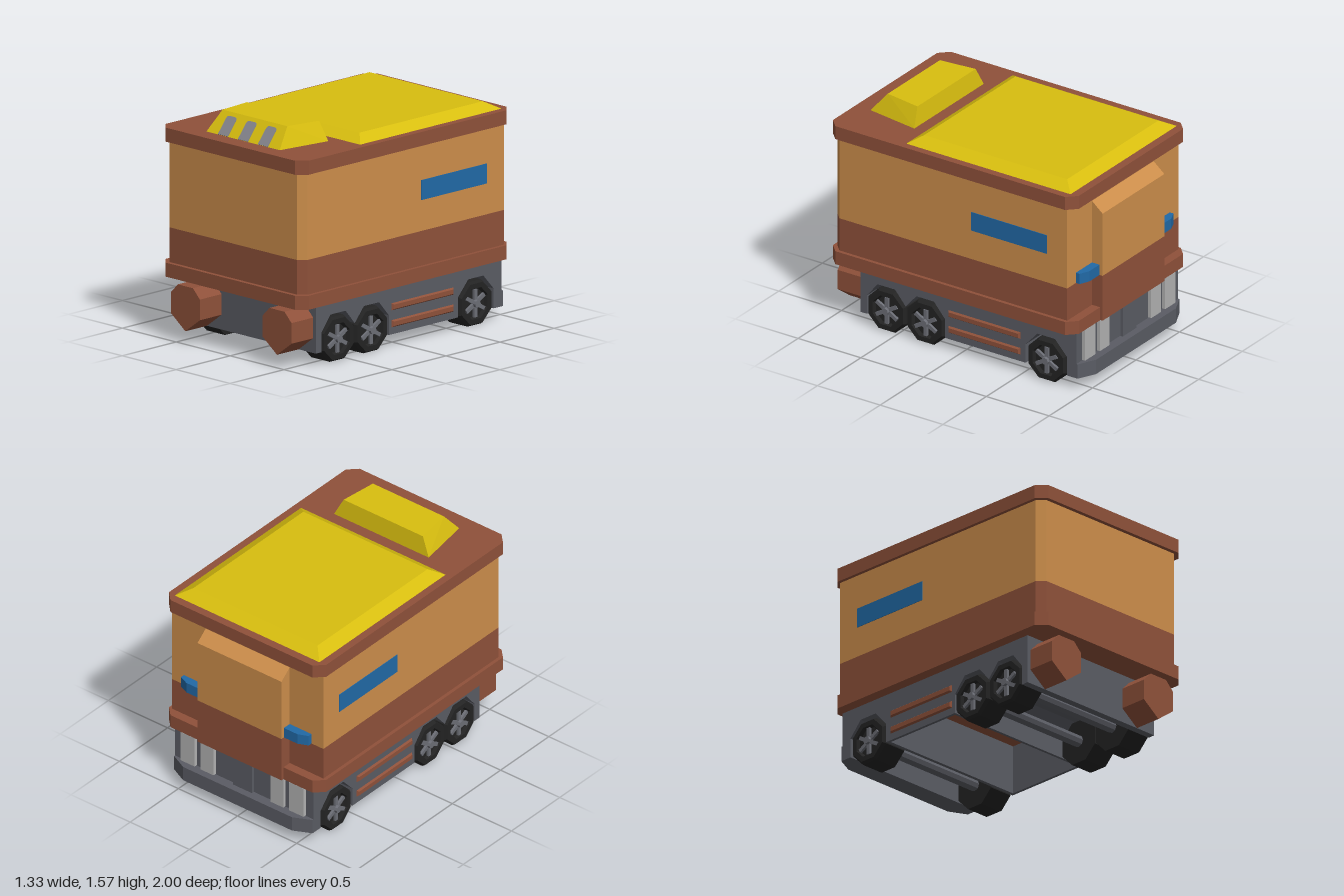
import * as THREE from 'three';
import { ConvexGeometry } from 'three/addons/geometries/ConvexGeometry.js';

const paint = (name, color) => {
  const m = new THREE.MeshStandardMaterial({ color });
  m.name = name;
  return m;
};

// Separate the facets so every face is shaded flat
const flat = (geo) => {
  const g = geo.index ? geo.toNonIndexed() : geo;
  g.computeVertexNormals();
  return g;
};

const shapeOf = (pts) => new THREE.Shape(pts.map(([x, y]) => new THREE.Vector2(x, y)));
const extrude = (shape, depth) => new THREE.ExtrudeGeometry(shape, { depth, bevelEnabled: false, curveSegments: 4 });

// Plan outline [x, z] raised from y0 to y1
const slab = (pts, y0, y1) =>
  extrude(shapeOf(pts.map(([x, z]) => [x, -z])), y1 - y0).rotateX(-Math.PI / 2).translate(0, y0, 0);

// Side outline [z, y] stretched from x0 to x1
const sideSlab = (pts, x0, x1) =>
  extrude(shapeOf(pts.map(([z, y]) => [-z, y])), x1 - x0).rotateY(Math.PI / 2).translate(x0, 0, 0);

const box = (x0, x1, y0, y1, z0, z1) =>
  new THREE.BoxGeometry(x1 - x0, y1 - y0, z1 - z0).translate((x0 + x1) / 2, (y0 + y1) / 2, (z0 + z1) / 2);

const hull = (pts) => new ConvexGeometry(pts.map((p) => new THREE.Vector3(...p)));

// Plan outline with cut corners; back corners may stay square
const cutRect = (w, back, front, c, cutBack) => [
  [-w, front - c], [-w + c, front], [w - c, front], [w, front - c],
  ...(cutBack ? [[w, back + c], [w - c, back], [-w + c, back], [-w, back + c]] : [[w, back], [-w, back]]),
];

export function createModel() {
  const model = new THREE.Group();
  model.name = 'wagon';
  const orange = paint('orange', 0xcd8e4b);
  const brown = paint('brown', 0x8f513a);
  const yellow = paint('yellow', 0xd8be0f);
  const grey = paint('chassis grey', 0x5a5c64);
  const black = paint('tyre black', 0x232323);
  const steel = paint('hub steel', 0x6c6e76);
  const blue = paint('blue', 0x2169a6);
  const pale = paint('pale grey', 0xb2b2b2);
  const glass = paint('window grey', 0x85868e);

  const add = (name, geo, mat, parent = model) => {
    const mesh = new THREE.Mesh(geo, mat);
    mesh.name = name;
    parent.add(mesh);
    return mesh;
  };

  // Body shell and its two surrounding bands
  const bodyPlan = cutRect(0.64, -0.895, 0.97, 0.05, false);
  const bandPlan = cutRect(0.665, -0.96, 1.0, 0.065, true);
  add('lowerBody', slab(bodyPlan, 0.44, 0.755), brown);
  add('upperBody', slab(bodyPlan, 0.755, 1.36), orange);
  add('lowerBand', slab(bandPlan, 0.425, 0.52), brown);
  add('roofBand', slab(bandPlan, 1.34, 1.435), brown);

  // Raised rear door with a sloping head
  add('doorLower', box(-0.355, 0.355, 0.427, 0.755, -0.98, -0.89), brown);
  add('doorUpper', sideSlab([[-0.89, 0.755], [-0.98, 0.755], [-0.98, 1.21], [-0.895, 1.28], [-0.89, 1.28]], -0.355, 0.355), orange);

  // Roof hatch with sloping edges
  const hatch = [];
  for (const s of [-1, 1]) {
    hatch.push([s * 0.62, 1.43, 0.415], [s * 0.62, 1.43, -0.91], [s * 0.525, 1.485, 0.325], [s * 0.525, 1.485, -0.815]);
  }
  add('roofHatch', hull(hatch), yellow);

  // Roof scoop with three windows on its sloping front
  const scoop = [];
  for (const s of [-1, 1]) {
    scoop.push([s * 0.34, 1.435, 0.88], [s * 0.4, 1.435, 0.49], [s * 0.3, 1.57, 0.77], [s * 0.335, 1.565, 0.51]);
  }
  add('roofScoop', hull(scoop), yellow);
  const pane = new THREE.Shape();
  pane.moveTo(-0.045, 0);
  pane.lineTo(0.045, 0);
  pane.lineTo(0.045, 0.115);
  pane.quadraticCurveTo(0.045, 0.142, 0.025, 0.142);
  pane.lineTo(-0.025, 0.142);
  pane.quadraticCurveTo(-0.045, 0.142, -0.045, 0.115);
  for (const x of [-0.185, 0, 0.185]) {
    const w = add('scoopWindow', extrude(pane, 0.005), glass);
    w.rotation.x = -Math.atan2(0.11, 0.135);
    w.position.set(x, 1.436, 0.88);
  }

  // Chassis: end blocks with wheel arches, joined by thin side skirts
  add('frontChassis', sideSlab([
    [0.79, 0.425], [0.79, 0.085], [0.738, 0.085], [0.738, 0.22], [0.655, 0.325], [0.515, 0.325], [0.43, 0.225],
    [0.345, 0.325], [0.205, 0.325], [0.115, 0.22], [0.115, 0.085], [0.095, 0.085], [0.095, 0.425],
  ], -0.585, 0.585), grey);
  add('rearChassis', sideSlab([
    [-0.5, 0.425], [-0.5, 0.085], [-0.525, 0.085], [-0.525, 0.22], [-0.62, 0.325], [-0.76, 0.325],
    [-0.855, 0.22], [-0.855, 0.085], [-0.93, 0.085], [-0.93, 0.425],
  ], -0.585, 0.585), grey);

  // Rear bumper and the panels above it
  add('rearBumper', slab([[-0.585, -0.92], [0.585, -0.92], [0.585, -0.94], [0.46, -1.0], [-0.46, -1.0], [-0.585, -0.94]], 0.085, 0.19), grey);
  add('rearCentrePanel', box(-0.08, 0.08, 0.19, 0.425, -0.95, -0.92), grey);

  for (const s of [-1, 1]) {
    const span = (a, b) => [Math.min(s * a, s * b), Math.max(s * a, s * b)];
    add('sideSkirt', box(...span(0.565, 0.585), 0.085, 0.425, -0.5, 0.095), grey);
    add('sideStripe', box(...span(0.638, 0.644), 0.965, 1.1, -0.735, -0.13), blue);
    for (const [a, b] of [[0.24, 0.35], [0.4, 0.52]]) {
      add('rearLight', box(...span(a, b), 0.195, 0.42, -0.955, -0.92), pale);
    }

    // Bevelled side rails
    for (const y of [0.157, 0.272]) {
      const rail = [];
      for (const k of [-1, 1]) {
        for (const [x, dy, dz] of [[0.58, 0.028, 0.29], [0.598, 0.015, 0.275]]) {
          rail.push([s * x, y + k * dy, -0.197 + dz], [s * x, y + k * dy, -0.197 - dz]);
        }
      }
      add('sideRail', hull(rail), brown);
    }

    // Wedge-shaped door handles
    const handle = [];
    for (const y of [0.755, 0.83]) {
      for (const [x, z] of [[0.35, -0.89], [0.35, -0.955], [0.47, -0.955], [0.54, -0.925], [0.54, -0.89]]) handle.push([s * x, y, z]);
    }
    add('rearHandle', hull(handle), blue);

    // Faceted front buffers
    const buffer = shapeOf([[-0.07, 0.39], [-0.135, 0.325], [-0.135, 0.185], [0, 0.085], [0.135, 0.185], [0.135, 0.325], [0.07, 0.39]]);
    add('frontBuffer', extrude(buffer, 0.21).translate(s * 0.425, 0, 0.78), brown);
  }

  // Eight-sided wheels with spoked hubs
  const profile = [[0, 0.4], [0.162, 0.4], [0.162, 0.57], [0.148, 0.592], [0.112, 0.592], [0.1, 0.568], [0, 0.568]]
    .map(([r, y]) => new THREE.Vector2(r, y));
  const tyreGeo = flat(new THREE.LatheGeometry(profile, 8, Math.PI / 8).rotateZ(-Math.PI / 2));
  const hubGeo = flat(new THREE.CylinderGeometry(0.026, 0.03, 0.045, 8).rotateZ(-Math.PI / 2).translate(0.583, 0, 0));
  const spokeGeo = box(0.565, 0.586, 0.015, 0.095, -0.013, 0.013);
  const axleGeo = flat(new THREE.CylinderGeometry(0.04, 0.04, 0.84, 8).rotateZ(Math.PI / 2));
  for (const z of [0.585, 0.275, -0.69]) {
    add('axle', axleGeo, grey).position.set(0, 0.15, z);
    for (const turn of [0, Math.PI]) {
      const wheel = new THREE.Group();
      wheel.name = 'wheel';
      wheel.position.set(0, 0.15, z);
      wheel.rotation.y = turn;
      add('tyre', tyreGeo, black, wheel);
      add('hub', hubGeo, steel, wheel);
      for (let i = 0; i < 6; i++) add('spoke', spokeGeo, steel, wheel).rotation.x = (i * Math.PI) / 3;
      model.add(wheel);
    }
  }
  return model;
}
